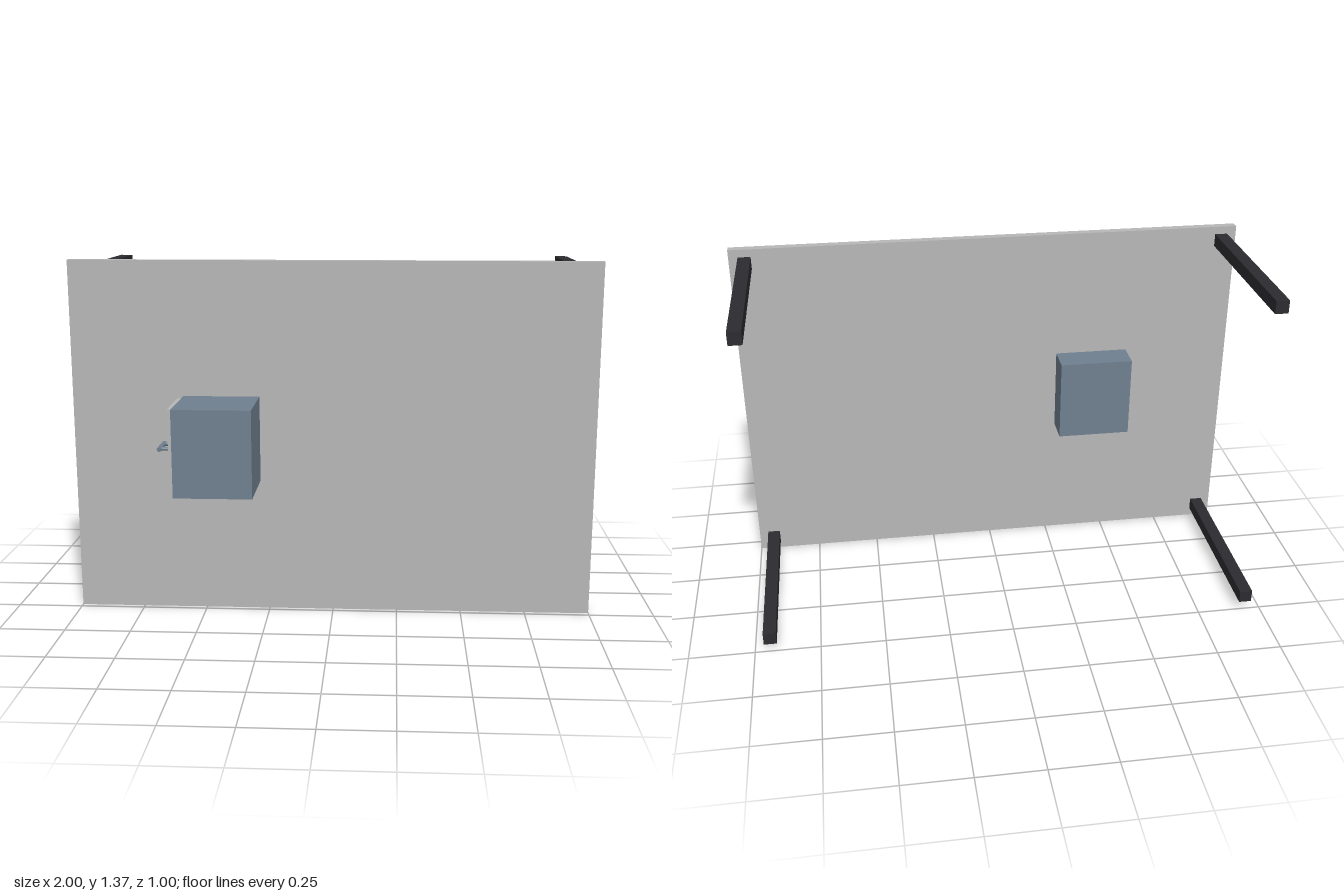
import * as THREE from 'three';

export function createModel() {
  const model = new THREE.Group();
  const grey = new THREE.MeshStandardMaterial({ color: 0xb8b8b8 });
  grey.name = 'light grey';
  const dark = new THREE.MeshStandardMaterial({ color: 0x2c2c30 });
  dark.name = 'charcoal';
  const slate = new THREE.MeshStandardMaterial({ color: 0x708090 });
  slate.name = 'slate blue';

  const add = (parent, name, geometry, material, x, y, z) => {
    const mesh = new THREE.Mesh(geometry, material);
    mesh.name = name;
    mesh.position.set(x, y, z);
    parent.add(mesh);
    return mesh;
  };
  // Box given by its minimum and maximum corners
  const block = (parent, name, material, a, b) => add(
    parent, name, new THREE.BoxGeometry(b[0] - a[0], b[1] - a[1], b[2] - a[2]), material,
    (a[0] + b[0]) / 2, (a[1] + b[1]) / 2, (a[2] + b[2]) / 2);

  // Table top, standing on its long edge
  block(model, 'tableTop', grey, [-1, 0, 0.198], [1, 1.367, 0.23]);

  // Four legs pointing backwards
  for (const x of [-0.94, 0.94]) {
    for (const y of [0.059, 1.312]) {
      add(model, 'leg', new THREE.BoxGeometry(0.049, 0.049, 0.7), dark, x, y, -0.151);
    }
  }

  // Cabinet passing through the top
  const cabinet = new THREE.Group();
  cabinet.name = 'cabinet';
  model.add(cabinet);
  block(cabinet, 'cabinetBody', slate, [-0.573, 0.521, 0.083], [-0.281, 0.851, 0.501]);
  block(cabinet, 'drawerFront', grey, [-0.589, 0.523, 0.272], [-0.573, 0.849, 0.478]);

  // Pull handle: two posts and a bar
  const handle = new THREE.Group();
  handle.name = 'handle';
  cabinet.add(handle);
  for (const z of [0.335, 0.412]) {
    add(handle, 'handlePost', new THREE.CylinderGeometry(0.007, 0.007, 0.045, 12), slate, -0.61, 0.686, z)
      .rotation.z = Math.PI / 2;
  }
  add(handle, 'handleBar', new THREE.CylinderGeometry(0.009, 0.009, 0.105, 16), slate, -0.633, 0.686, 0.3735)
    .rotation.x = Math.PI / 2;

  return model;
}
